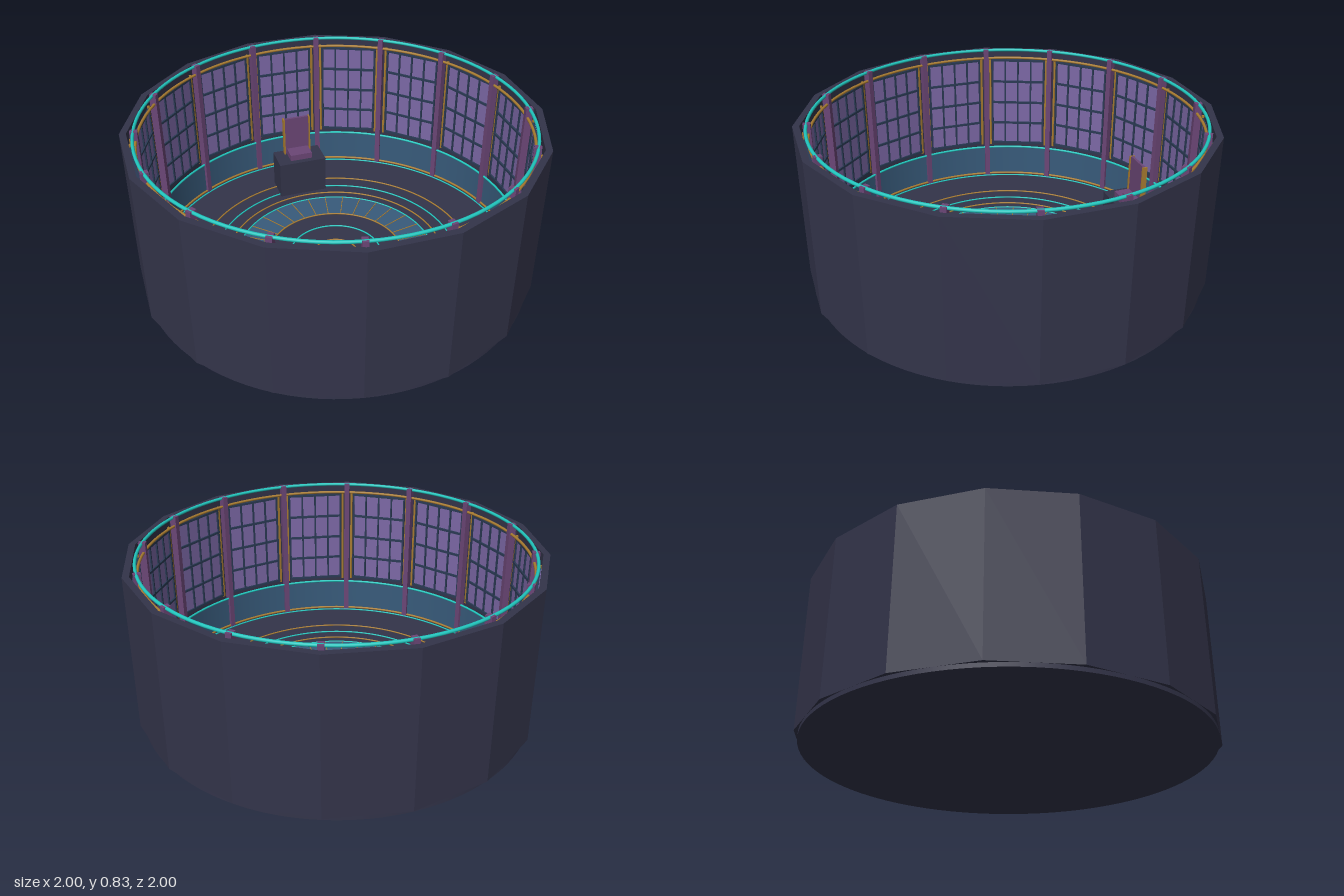
import * as THREE from 'three';

const mat = (name, color) => {
  const m = new THREE.MeshStandardMaterial({ color });
  m.name = name;
  return m;
};

export function createModel() {
  const root = new THREE.Group();
  root.name = 'roundChamber';
  const M = {
    wall: mat('slate', 0x33344a),
    bar: mat('dark navy', 0x2a3a54),
    glass: mat('violet', 0x7c68a6),
    column: mat('plum', 0x6b4676),
    blue: mat('steel blue', 0x385b7b),
    cyan: mat('cyan', 0x20c4bc),
    gold: mat('gold', 0xa67a30),
  };
  M.blue.side = THREE.DoubleSide;

  const add = (parent, name, geo, material, x = 0, y = 0, z = 0) => {
    const mesh = new THREE.Mesh(geo, material);
    mesh.name = name;
    mesh.position.set(x, y, z);
    parent.add(mesh);
    return mesh;
  };
  const box = (parent, name, w, h, d, material, x, y, z) =>
    add(parent, name, new THREE.BoxGeometry(w, h, d), material, x, y, z);
  const hoop = (name, r, y, tube, material) =>
    add(root, name, new THREE.TorusGeometry(r, tube, 16, 96).rotateX(Math.PI / 2), material, 0, y, 0);

  const N = 16, STEP = (Math.PI * 2) / N;
  const FLOOR = 0.02, TOP = 0.82;

  // Round floor slab
  add(root, 'floor', new THREE.CylinderGeometry(1, 1, FLOOR, 96), M.wall, 0, FLOOR / 2, 0);

  // Wall slabs, window bays and columns, repeated around the chamber
  for (let i = 0; i < N; i++) {
    const bay = new THREE.Group();
    bay.name = 'windowBay';
    bay.rotation.y = i * STEP;
    root.add(bay);
    // Slab with mitred ends
    const half = Math.tan(STEP / 2), inner = 0.968;
    const plan = new THREE.Shape([
      new THREE.Vector2(-half * inner, inner), new THREE.Vector2(half * inner, inner),
      new THREE.Vector2(half, 1), new THREE.Vector2(-half, 1),
    ]);
    const slab = new THREE.ExtrudeGeometry(plan, { depth: TOP - FLOOR, bevelEnabled: false });
    add(bay, 'wallSlab', slab.rotateX(-Math.PI / 2), M.wall, 0, FLOOR, 0);

    const y0 = 0.235, y1 = 0.76, mid = (y0 + y1) / 2, h = y1 - y0;
    box(bay, 'windowPane', 0.305, h, 0.008, M.glass, 0, mid, -0.963);
    for (let k = 0; k <= 4; k++) {
      box(bay, 'windowRail', 0.31, 0.012, 0.014, M.bar, 0, y0 + (h * k) / 4, -0.957);
    }
    for (let k = -2; k <= 2; k++) {
      box(bay, 'windowMullion', 0.009, h, 0.012, M.bar, k * 0.075, mid, -0.957);
    }
    for (const s of [-1, 1]) {
      box(bay, 'trimStrip', 0.011, h + 0.03, 0.012, M.gold, s * 0.164, mid, -0.96);
    }
    const post = new THREE.Group();
    post.name = 'columnBay';
    post.rotation.y = (i + 0.5) * STEP;
    root.add(post);
    box(post, 'column', 0.028, 0.812, 0.036, M.column, 0, FLOOR + 0.406, -0.952);
  }

  // Blue skirting band and hoops around the wall
  add(root, 'skirtingBand', new THREE.CylinderGeometry(0.95, 0.95, 0.18, 96, 1, true), M.blue, 0, 0.12, 0);
  hoop('skirtingTopHoop', 0.947, 0.21, 0.006, M.cyan);
  hoop('skirtingBaseHoop', 0.945, 0.033, 0.006, M.gold);
  hoop('floorEdgeHoop', 0.935, 0.023, 0.004, M.cyan);
  hoop('upperHoop', 0.947, 0.78, 0.007, M.gold);
  hoop('rimHoop', 0.955, 0.825, 0.008, M.cyan);

  // Floor inlays
  const annulus = new THREE.RingGeometry(0.355, 0.52, 96).rotateX(-Math.PI / 2);
  add(root, 'floorBand', annulus, M.blue, 0, FLOOR + 0.003, 0);
  const inlays = [
    [0.115, M.gold], [0.24, M.cyan], [0.355, M.gold], [0.52, M.cyan],
    [0.57, M.gold], [0.64, M.cyan], [0.72, M.gold],
  ];
  for (const [r, material] of inlays) hoop('floorRing', r, FLOOR + 0.003, 0.004, material);
  for (let i = 0; i < 32; i++) {
    const a = (i * Math.PI) / 16, r = 0.4375;
    const spoke = box(root, 'floorSpoke', 0.004, 0.004, 0.16, M.gold,
      Math.sin(a) * r, FLOOR + 0.004, Math.cos(a) * r);
    spoke.rotation.y = a;
  }

  // Seat on its plinth at the back
  const chair = new THREE.Group();
  chair.name = 'chair';
  chair.position.z = -0.68;
  root.add(chair);
  box(chair, 'plinth', 0.27, 0.21, 0.156, M.wall, 0, FLOOR + 0.105, 0);
  box(chair, 'seat', 0.125, 0.035, 0.085, M.column, 0, 0.2475, 0.005);
  box(chair, 'seatBack', 0.14, 0.225, 0.014, M.column, 0, 0.3425, -0.048);
  for (const s of [-1, 1]) {
    box(chair, 'backSideTrim', 0.008, 0.225, 0.028, M.gold, s * 0.074, 0.3425, -0.048);
  }
  return root;
}
